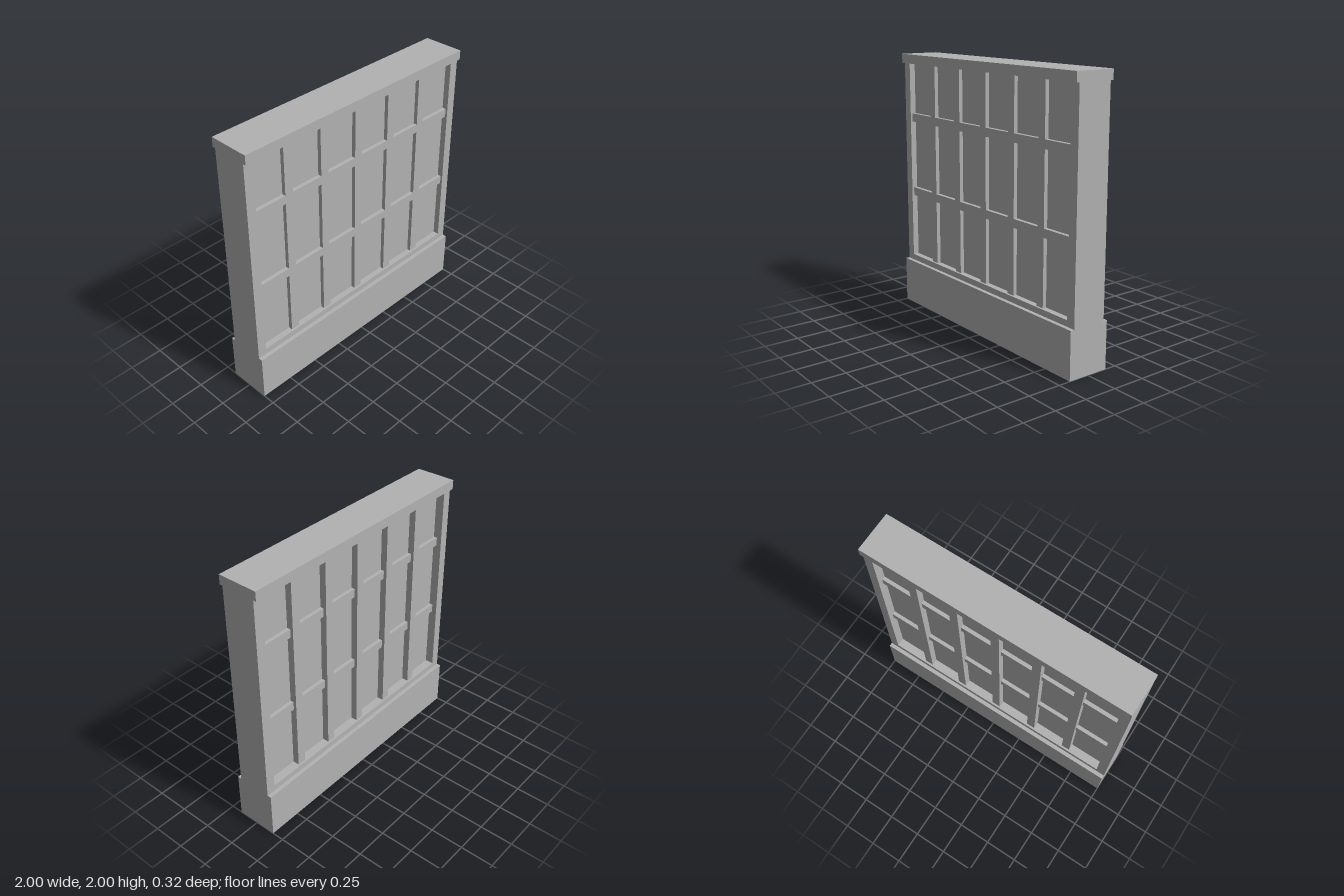
import * as THREE from 'three';

export function createModel() {
  const group = new THREE.Group();
  group.name = 'panelledWall';
  const grey = new THREE.MeshStandardMaterial({ color: 0xb2b2b2 });
  grey.name = 'stone grey';

  // Box given by its limits on each axis
  const box = (name, x0, x1, y0, y1, z0, z1) => {
    const mesh = new THREE.Mesh(new THREE.BoxGeometry(x1 - x0, y1 - y0, z1 - z0), grey);
    mesh.position.set((x0 + x1) / 2, (y0 + y1) / 2, (z0 + z1) / 2);
    mesh.name = name;
    group.add(mesh);
  };

  const bottom = 0.35, top = 1.93, sill = 0.395, inner = 0.93;
  const panelFront = 0.085, panelBack = -0.065;

  // Plinth and coping
  box('plinth', -1, 1, 0, bottom, -0.16, 0.16);
  box('coping', -1, 1, top, 2, -0.153, 0.153);

  // Outer frame
  box('leftStile', inner, 1, bottom, top, -0.13, 0.13);
  box('rightStile', -1, -inner, bottom, top, -0.13, 0.13);
  box('sill', -inner, inner, bottom, sill, -0.13, 0.13);

  // Recessed panel
  box('panel', -inner, inner, sill, top, panelBack, panelFront);

  // Upright bars on both faces
  const uprights = [-0.64, -0.322, -0.003, 0.317, 0.635];
  for (const x of uprights) {
    box('frontUpright', x - 0.033, x + 0.033, sill, top, panelFront, 0.114);
    box('backUpright', x - 0.033, x + 0.033, sill, top, -0.115, panelBack);
  }

  // Cross rails, cut between the uprights
  const edges = [-inner, ...uprights.flatMap((x) => [x - 0.033, x + 0.033]), inner];
  for (const y of [0.917, 1.509]) {
    for (let i = 0; i < edges.length; i += 2) {
      box('frontRail', edges[i], edges[i + 1], y - 0.032, y + 0.032, panelFront, 0.114);
      box('backRail', edges[i], edges[i + 1], y - 0.032, y + 0.032, -0.092, panelBack);
    }
  }
  return group;
}
